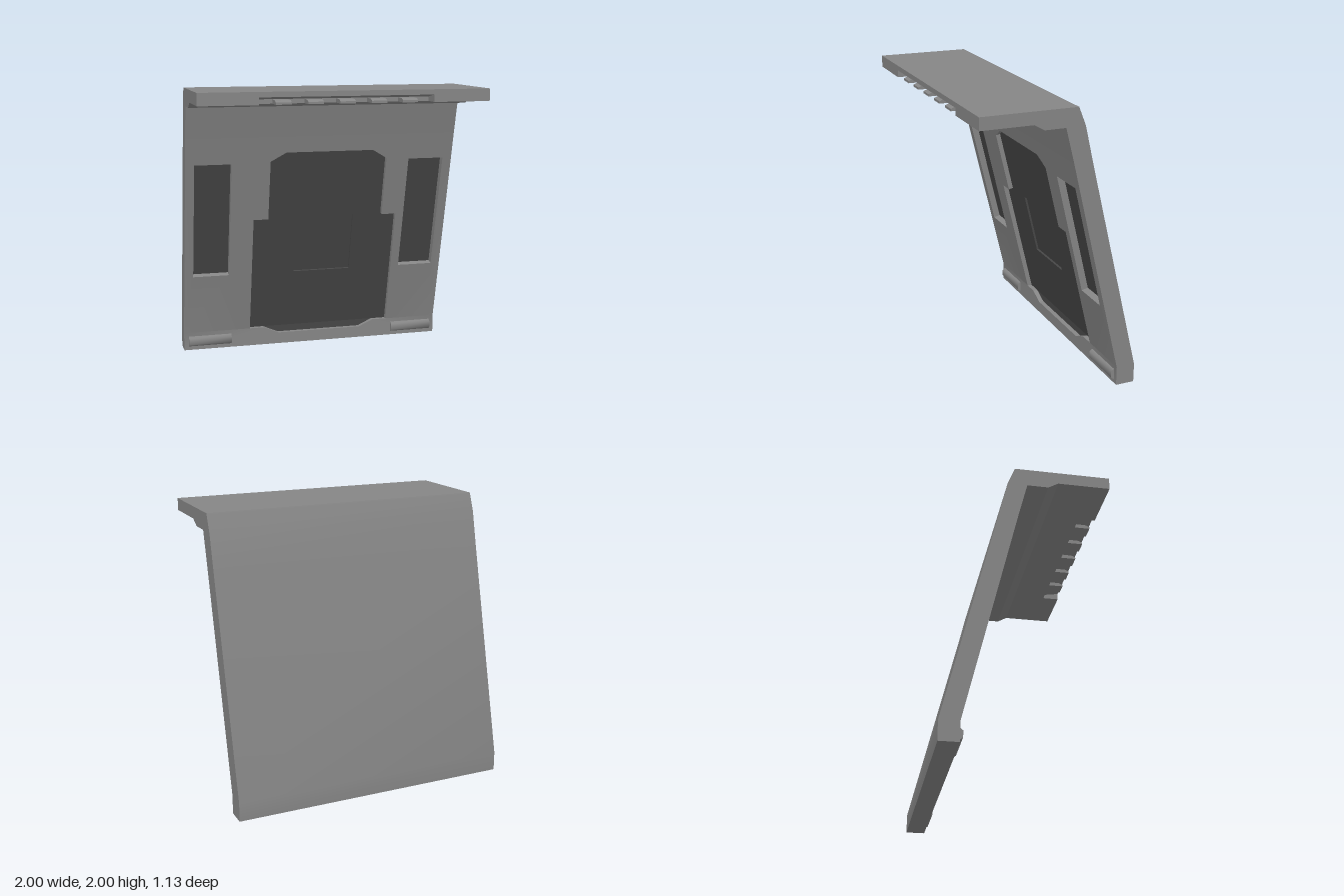
import * as THREE from 'three';
import { toCreasedNormals } from 'three/addons/utils/BufferGeometryUtils.js';

const grey = new THREE.MeshStandardMaterial({ color: 0x858585 });
const dark = new THREE.MeshStandardMaterial({ color: 0x464646 });

const BEND = 0.135, TOP = 1.64, SKIN = 0.09;
const RECESS = 0.035, SQUARE = 0.05, SLOT = 0.05;
const SLOPE = 0.365 / (TOP - BEND);

// z of the sloping front face at height y (upright below the bend)
const frontZ = (y) => -0.43 + Math.max(0, y - BEND) * SLOPE;

const outline = (pts) => new THREE.Shape(pts.map(([x, y]) => new THREE.Vector2(x, y)));
const rect = (x0, y0, x1, y1) => outline([[x0, y0], [x1, y0], [x1, y1], [x0, y1]]);

export function createModel() {
  const model = new THREE.Group();

  // Gentle bends below the crease angle are shaded smoothly
  const add = (name, geometry, material, crease) => {
    const mesh = new THREE.Mesh(toCreasedNormals(geometry, crease), material);
    mesh.name = name;
    model.add(mesh);
  };

  // Side profile given as [z, y], swept from x0 to x1
  const sweep = (name, profile, x0, x1, crease = 0.35) => {
    const g = new THREE.ExtrudeGeometry(outline(profile), { depth: x1 - x0, bevelEnabled: false });
    g.rotateY(-Math.PI / 2).translate(x1, 0, 0);
    add(name, g, grey, crease);
  };

  // Front outlines laid on the sloping face between two depths; cuts run square to the slope
  const layer = (name, shapes, near, far, material = grey) => {
    const g = new THREE.ExtrudeGeometry(shapes, { depth: far - near, bevelEnabled: false });
    const p = g.attributes.position;
    for (let i = 0; i < p.count; i++) {
      const depth = far - p.getZ(i);
      let y = p.getY(i);
      if (y > BEND + 0.001 && y < TOP - 0.001) y += depth * SLOPE;
      p.setXYZ(i, p.getX(i), y, frontZ(y) - depth);
    }
    add(name, g, material, 0.35);
  };

  // Back wall and top shelf in one bent profile
  sweep('wallAndShelf', [
    [-0.565, 0], [-0.43 - SKIN, 0], [-0.43 - SKIN, BEND], [-0.065 - SKIN, TOP],
    [-0.065, TOP], [-0.005, 1.875], [0.14, 1.875], [0.21, 1.915], [0.45, 1.915],
    [0.45, 1.945], [0.57, 1.965], [0.57, 2], [-0.09, 2], [-0.14, 1.875],
    [-0.195, TOP], [-0.565, BEND],
  ], -1, 1);

  // Shelf front corners either side of the notch, and the tabs inside it
  const block = [[0.45, 1.915], [0.57, 1.915], [0.57, 1.965], [0.45, 1.945]];
  sweep('shelfCornerRight', block, -1, -0.6);
  sweep('shelfCornerLeft', block, 0.6, 1);
  const tab = [[0.45, 1.915], [0.56, 1.915], [0.56, 1.93], [0.53, 1.942], [0.45, 1.944]];
  for (let i = -2; i <= 2; i++) sweep('shelfTab', tab, i * 0.217 - 0.053, i * 0.217 + 0.053);

  // Front skin with the central recess and two side slots cut out
  const upperRecess = [
    [0.6, BEND], [0.6, 1.02], [0.49, 1.02], [0.49, 1.46], [0.38, 1.525],
    [-0.27, 1.525], [-0.385, 1.46], [-0.385, 1.02], [-0.495, 1.02], [-0.495, BEND],
  ];
  const lowerRecess = [[0.49, BEND], [0.38, 0.085], [-0.27, 0.085], [-0.385, BEND]];
  const slots = [[-0.935, -0.668], [0.662, 0.932]].map(([a, b]) => rect(a, 0.592, b, 1.45));
  const square = rect(-0.167, 0.575, 0.272, 1.015);

  const skin = outline([[1, BEND], [1, TOP], [-1, TOP], [-1, BEND], ...[...upperRecess].reverse()]);
  skin.holes.push(...slots);
  const skirt = outline([[-1, 0], [1, 0], [1, BEND], ...lowerRecess, [-1, BEND]]);
  layer('frontSkin', [skin, skirt], 0, SKIN);

  // Recess floors, with a deeper square in the middle
  const floor = outline(upperRecess);
  floor.holes.push(square);
  layer('recessFloor', [floor, outline(lowerRecess)], RECESS, SKIN, dark);
  layer('squareFloor', square, SQUARE, SKIN, dark);
  layer('slotFloors', slots, SLOT, SKIN, dark);

  // Raised bars along the foot, with softened long edges
  const bar = [[-0.44, 0.03], [-0.425, 0.03], [-0.407, 0.045], [-0.407, 0.09], [-0.425, 0.105], [-0.44, 0.105]];
  sweep('footBarRight', bar, -0.965, -0.64, 1);
  sweep('footBarLeft', bar, 0.64, 0.965, 1);

  return model;
}
